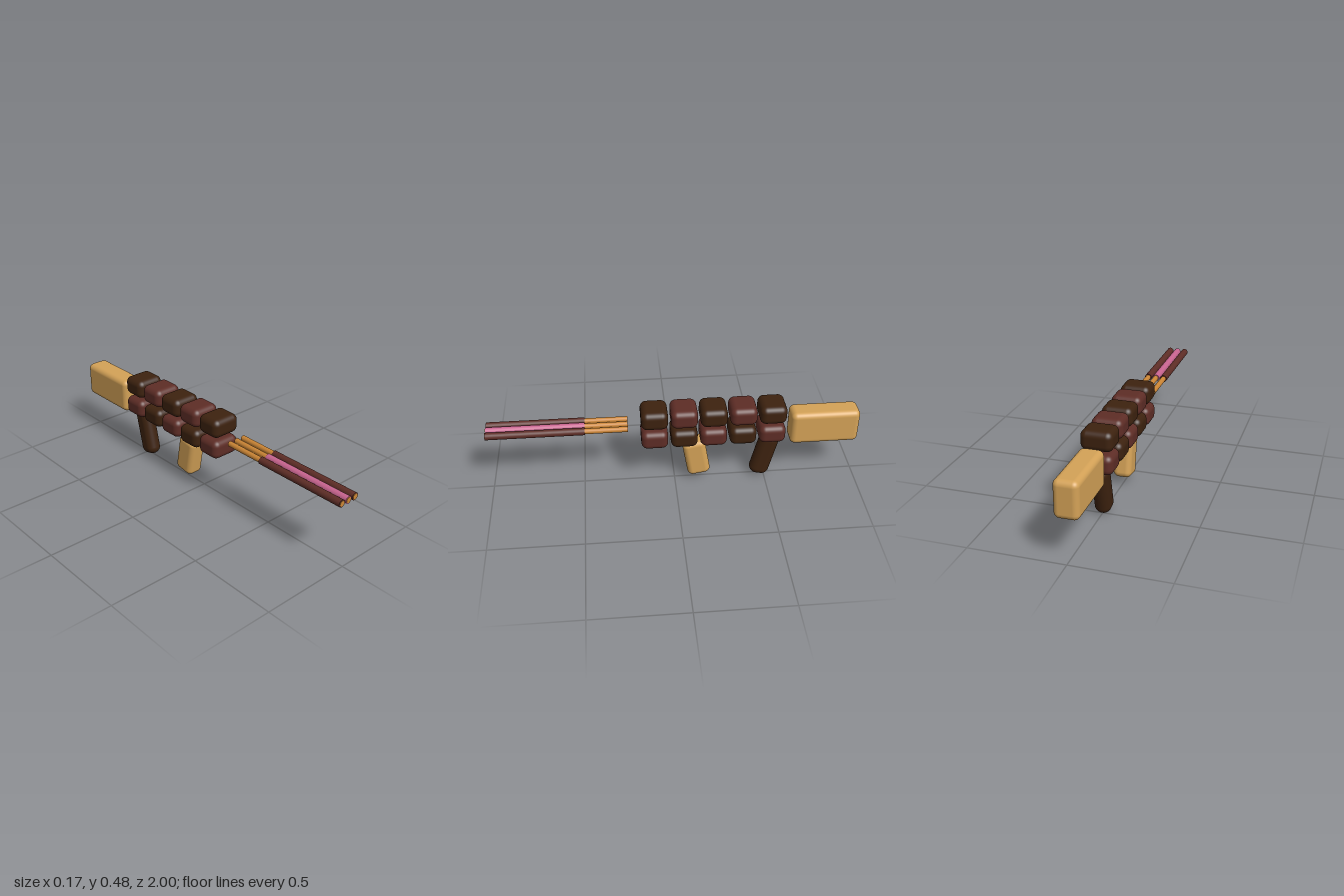
import * as THREE from 'three';
import { RoundedBoxGeometry } from 'three/addons/geometries/RoundedBoxGeometry.js';

const mat = (name, color) => {
  const m = new THREE.MeshStandardMaterial({ color });
  m.name = name;
  return m;
};

export function createModel() {
  const dark = mat('darkChocolate', 0x3d220f);
  const red = mat('redBrown', 0x5e2d26);
  const tan = mat('biscuitTan', 0xd4a257);
  const orange = mat('bakedOrange', 0xcb8535);
  const pink = mat('pinkCoating', 0xc8648f);

  const model = new THREE.Group();
  model.name = 'snackBlaster';

  const add = (name, geometry, material, x, y, z, tilt = 0) => {
    const mesh = new THREE.Mesh(geometry, material);
    mesh.name = name;
    mesh.position.set(x, y, z);
    mesh.rotation.x = tilt;
    model.add(mesh);
  };

  // Body: two rows of five pillowy blocks in alternating colours
  const block = new RoundedBoxGeometry(0.166, 0.105, 0.144, 6, 0.034);
  for (let i = 0; i < 5; i++) {
    const z = 0.11 - i * 0.1585;
    add('upperBlock' + (i + 1), block, i % 2 ? red : dark, 0, 0.427, z);
    add('lowerBlock' + (i + 1), block, i % 2 ? dark : red, 0, 0.304, z);
  }

  // Stock and the two slanted grips
  add('stock', new RoundedBoxGeometry(0.126, 0.195, 0.374, 6, 0.03), tan, 0, 0.3215, -0.813);
  add('foregrip', new RoundedBoxGeometry(0.098, 0.222, 0.125, 6, 0.03), tan, 0, 0.147, -0.118, 0.17);
  add('rearGrip', new RoundedBoxGeometry(0.086, 0.276, 0.11, 8, 0.042), dark, 0, 0.137, -0.498, -0.235);

  // Barrels: bare sticks with a coating over the front part
  const stick = new THREE.CylinderGeometry(0.015, 0.015, 0.75, 24).rotateX(Math.PI / 2);
  const coat = new THREE.CylinderGeometry(0.02, 0.02, 0.52, 24).rotateX(Math.PI / 2);
  [-0.046, 0, 0.046].forEach((x, i) => {
    add('stick' + (i + 1), stick, orange, x, 0.377, 0.625);
    add('stickCoating' + (i + 1), coat, x === 0 ? pink : red, x, 0.377, 0.738);
  });

  return model;
}
